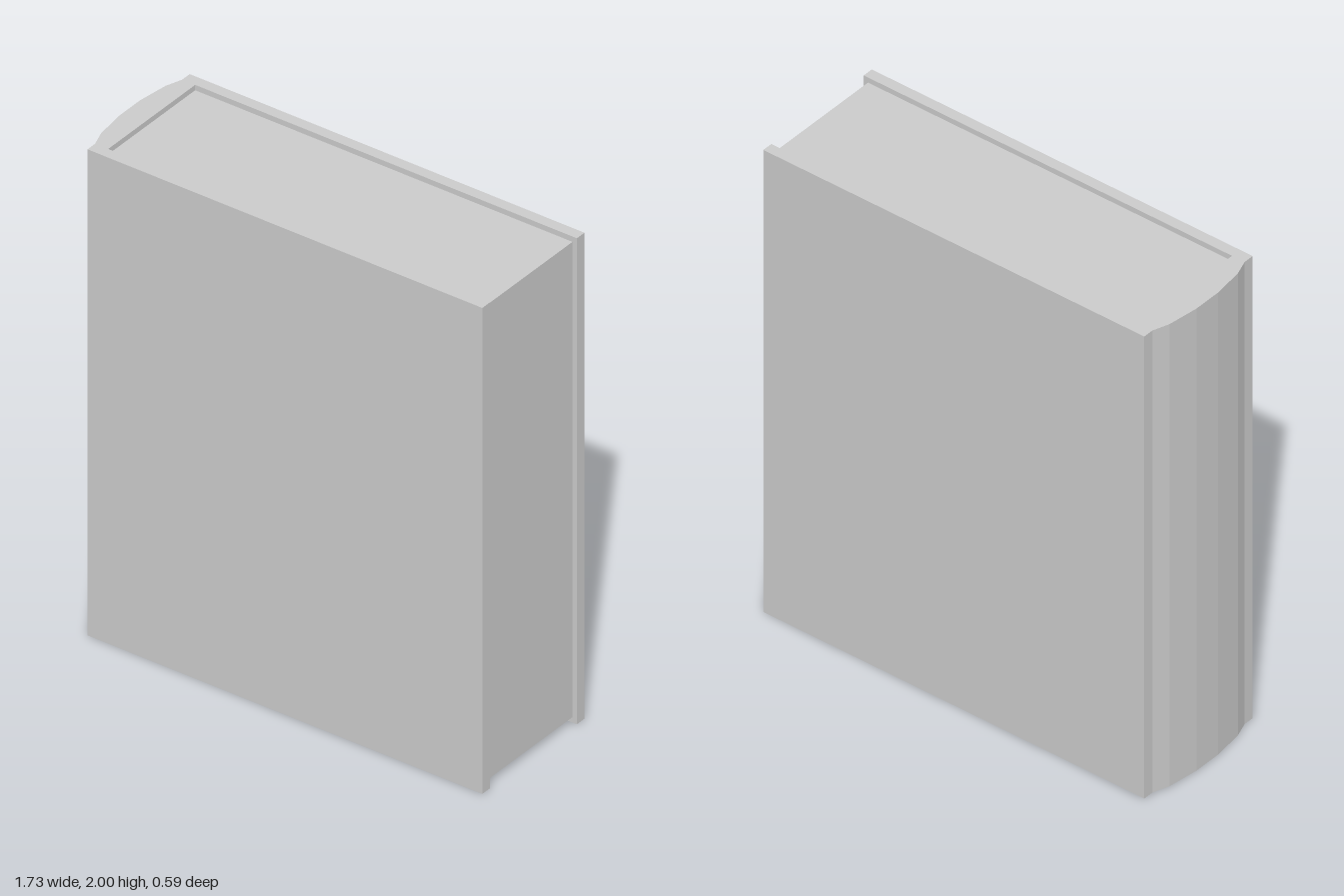
import * as THREE from 'three';

const H = 2;          // cover height
const OUT = 0.297;    // half thickness of the book
const IN = 0.253;     // half thickness of the page block
const HINGE = -0.828; // where the boards meet the spine
const FORE = 0.867;   // front edge of the boards

const material = new THREE.MeshStandardMaterial({ color: 0xcccccc });

// Extrudes an outline given as [x, z] points upwards from y0 to y1
function prism(name, points, y0, y1) {
  const shape = new THREE.Shape(points.map(([x, z]) => new THREE.Vector2(x, -z)));
  const geometry = new THREE.ExtrudeGeometry(shape, { depth: y1 - y0, bevelEnabled: false });
  geometry.rotateX(-Math.PI / 2).translate(0, y0, 0);
  const mesh = new THREE.Mesh(geometry, material);
  mesh.name = name;
  return mesh;
}

export function createModel() {
  const book = new THREE.Group();
  book.name = 'book';

  // Case: two boards joined by a faceted, rounded spine
  const spine = [[HINGE, -IN], [-0.851, -0.187], [-0.867, -0.06],
    [-0.867, 0.06], [-0.851, 0.187], [HINGE, IN]];
  book.add(prism('cover', [
    [HINGE, -OUT], ...spine, [HINGE, OUT],
    [FORE, OUT], [FORE, IN], [-0.772, IN],
    [-0.772, -IN], [FORE, -IN], [FORE, -OUT],
  ], 0, H));

  // Page block, set back from the cover edges
  book.add(prism('pages', [
    [-0.772, -IN], [-0.772, IN], [0.848, IN], [0.848, -IN],
  ], 0.022, H - 0.022));

  return book;
}
